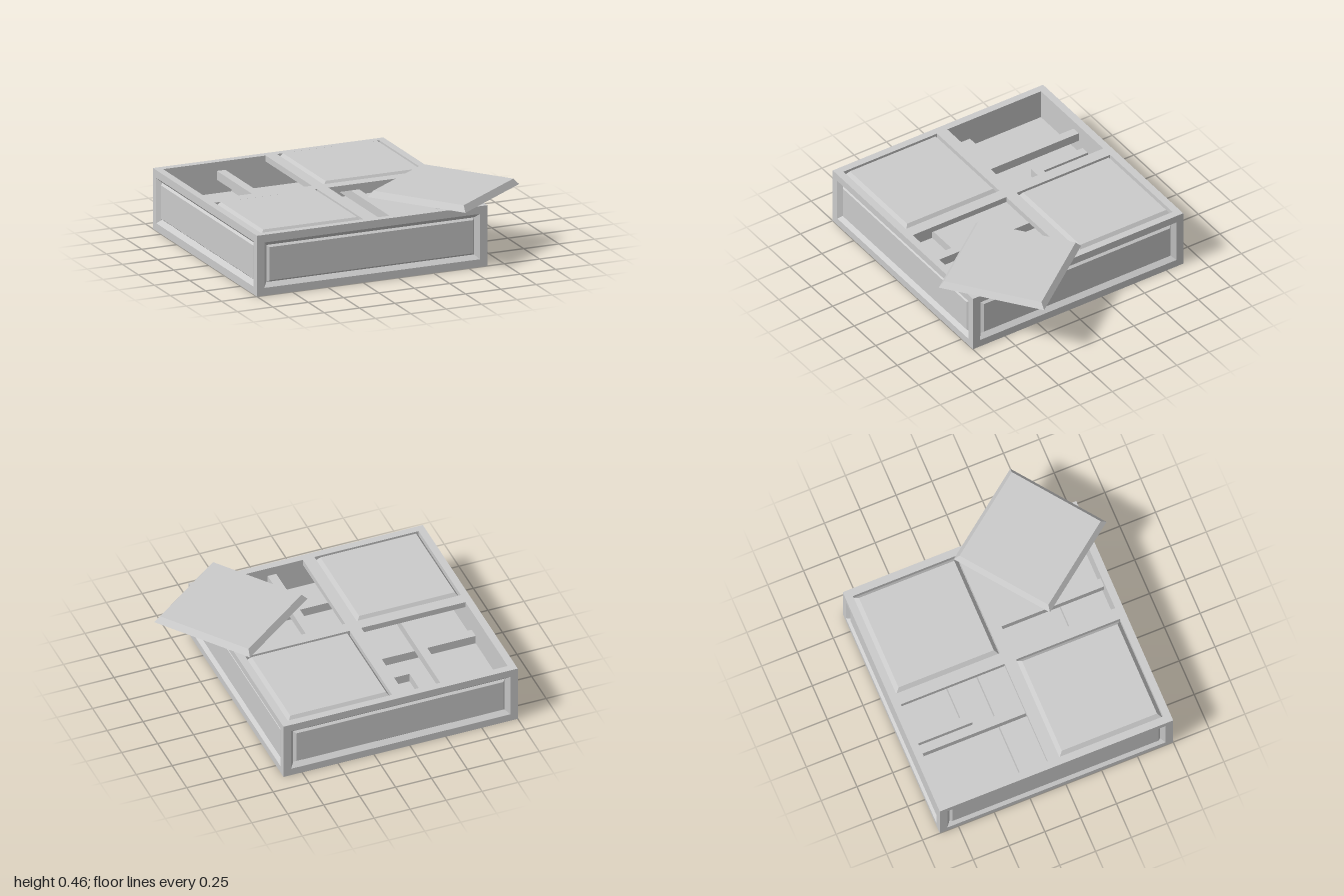
import * as THREE from 'three';

const CX = -0.185, CZ = -0.065;   // centre of the box
const W = 1.63, H = 0.41;         // outer width and height
const IN = 0.765;                 // half width of the cavity
const FLOOR = 0.2;
const mat = new THREE.MeshStandardMaterial({ color: 0xcccccc, flatShading: true, side: THREE.DoubleSide });

function add(parent, name, geometry, x = 0, y = 0, z = 0) {
  const m = new THREE.Mesh(geometry, mat);
  m.name = name;
  m.position.set(x, y, z);
  parent.add(m);
  return m;
}

// Skin through rectangular rings [width, height, z], capped at the last one
function rings(list) {
  const pos = [], index = [];
  list.forEach(([w, h, z], i) => {
    for (const [sx, sy] of [[-1, -1], [1, -1], [1, 1], [-1, 1]]) pos.push(sx * w / 2, sy * h / 2, z);
    if (!i) return;
    const a = i * 4 - 4, b = i * 4;
    for (let k = 0; k < 4; k++) {
      const n = (k + 1) % 4;
      index.push(a + k, a + n, b + n, a + k, b + n, b + k);
    }
  });
  const e = list.length * 4 - 4;
  index.push(e, e + 1, e + 2, e, e + 2, e + 3);
  const g = new THREE.BufferGeometry();
  g.setAttribute('position', new THREE.Float32BufferAttribute(pos, 3));
  g.setIndex(index);
  const flat = g.toNonIndexed();
  flat.computeVertexNormals();
  return flat;
}

// Box given by its limits
function bar(parent, name, x0, x1, y0, y1, z0, z1) {
  return add(parent, name, new THREE.BoxGeometry(x1 - x0, y1 - y0, z1 - z0),
    (x0 + x1) / 2, (y0 + y1) / 2, (z0 + z1) / 2);
}

function square(path, cx, cy, half) {
  path.moveTo(cx - half, cy - half);
  path.lineTo(cx + half, cy - half);
  path.lineTo(cx + half, cy + half);
  path.lineTo(cx - half, cy + half);
  path.closePath();
  return path;
}

export function createModel() {
  const model = new THREE.Group();
  const body = new THREE.Group();
  body.name = 'body';
  body.position.set(CX, 0, CZ);
  model.add(body);

  // Four outer walls with a grooved panel, and the cavity lining behind them
  const wall = rings([[W, H, 0], [1.525, 0.306, 0], [1.47, 0.25, -0.03], [1.44, 0.224, -0.015]]);
  const lining = new THREE.PlaneGeometry(IN * 2, H - FLOOR);
  for (let i = 0; i < 4; i++) {
    const side = new THREE.Group();
    side.name = 'side' + (i + 1);
    side.rotation.y = i * Math.PI / 2;
    add(side, 'panelledWall', wall, 0, H / 2, W / 2);
    add(side, 'lining', lining, 0, (H + FLOOR) / 2, IN).rotation.y = Math.PI;
    body.add(side);
  }

  // Top frame with four square openings
  const top = square(new THREE.Shape(), 0, 0, W / 2);
  const corners = [[-1, -1], [1, -1], [1, 1], [-1, 1]];
  for (const [sx, sy] of corners) top.holes.push(square(new THREE.Path(), sx * 0.4025, sy * 0.4025, 0.3625));
  const frame = new THREE.ExtrudeGeometry(top, { depth: 0.04, bevelEnabled: false });
  add(body, 'topFrame', frame.rotateX(-Math.PI / 2), 0, H - 0.04, 0);

  // Raised floor, with a strip let in that faces down
  const x0 = -0.95, x1 = 0.58, z0 = -0.83, z1 = 0.70;
  for (const [name, a, b, turn] of [['backFloor', z0, 0.2, -1], ['floorStrip', 0.2, 0.26, 1], ['frontFloor', 0.26, z1, -1]]) {
    const g = new THREE.PlaneGeometry(x1 - x0, b - a).rotateX(turn * Math.PI / 2);
    add(model, name, g, (x0 + x1) / 2, FLOOR, (a + b) / 2);
  }

  // Low maze bars on the floor
  const low = FLOOR + 0.06;
  for (const [a, b, c, d] of [
    [-0.465, x1, -0.49, -0.43], [-0.465, -0.405, z0, -0.49],
    [x0, -0.15, -0.28, -0.21],
    [-0.34, x1, 0.40, 0.46], [-0.34, -0.28, 0.46, z1],
  ]) bar(model, 'mazeBar', a, b, FLOOR, low, c, d);

  // High bars running front to back
  for (const x of [-0.57, 0.04]) bar(model, 'highBar', x, x + 0.06, 0.29, 0.35, z0, z1);

  // Bevelled lids: two in place, one lying askew on top
  const lid = rings([[0, 0, 0], [0.72, 0.72, 0], [0.665, 0.665, 0.04]]).rotateX(-Math.PI / 2);
  for (const s of [-1, 1]) add(model, 'seatedLid', lid, CX + s * 0.4025, 0.38, CZ - s * 0.4025);
  add(model, 'looseLid', lid, 0.49, 0.42, 0.37).rotation.y = 0.645;

  return model;
}
